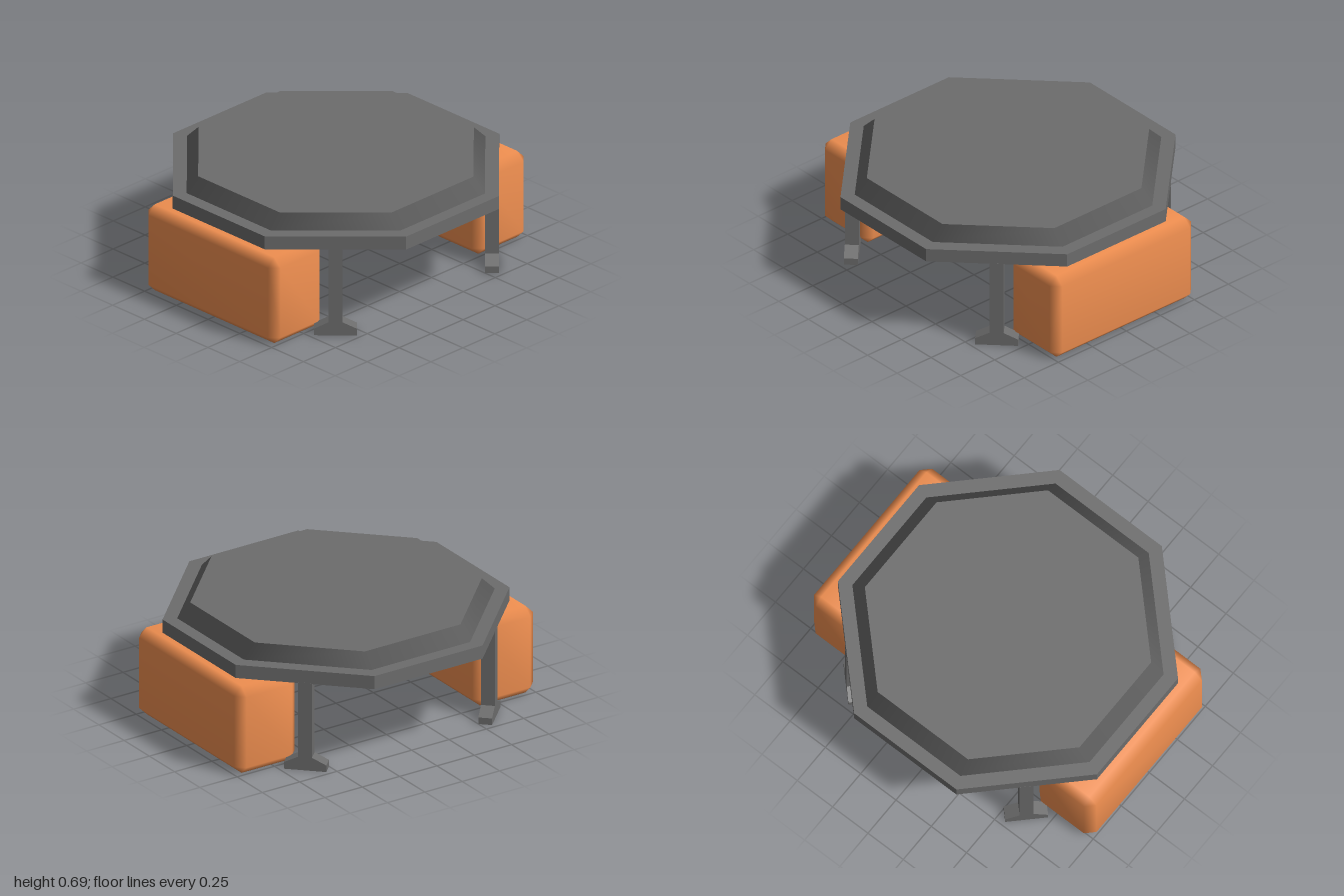
import * as THREE from 'three';
import { mergeVertices } from 'three/addons/utils/BufferGeometryUtils.js';
import { ConvexGeometry } from 'three/addons/geometries/ConvexGeometry.js';

// Octagonal slab; each ring is [distance to flat side, half length of that side]
function octagonSlab(bottom, top, y0, y1) {
  const geo = new THREE.CylinderGeometry(1, 1, y1 - y0, 8, 1, false, Math.PI / 8);
  geo.translate(0, (y0 + y1) / 2, 0);
  const p = geo.attributes.position;
  for (let i = 0; i < p.count; i++) {
    const x = p.getX(i), z = p.getZ(i);
    if (Math.hypot(x, z) < 0.5) continue; // cap centres
    const [far, near] = p.getY(i) > (y0 + y1) / 2 ? top : bottom;
    const xIsFar = Math.abs(x) > Math.abs(z);
    p.setX(i, Math.sign(x) * (xIsFar ? far : near));
    p.setZ(i, Math.sign(z) * (xIsFar ? near : far));
  }
  return geo;
}

// Box with single-step chamfers on every edge and softened normals
function chamferedBox(w, h, d, c) {
  const points = [];
  for (const sx of [-1, 1]) for (const sy of [-1, 1]) for (const sz of [-1, 1])
    for (let axis = 0; axis < 3; axis++) {
      const half = [w / 2, h / 2, d / 2].map((v, i) => (i === axis ? v : v - c));
      points.push(new THREE.Vector3(sx * half[0], sy * half[1], sz * half[2]));
    }
  const geo = new ConvexGeometry(points);
  geo.deleteAttribute('normal');
  const merged = mergeVertices(geo, 1e-4);
  merged.computeVertexNormals();
  return merged;
}

export function createModel() {
  const model = new THREE.Group();
  model.name = 'tableWithSeats';
  const flatGrey = new THREE.MeshStandardMaterial({ color: 0x6c6c6c, flatShading: true });
  const smoothGrey = new THREE.MeshStandardMaterial({ color: 0x6c6c6c });
  const orange = new THREE.MeshStandardMaterial({ color: 0xf08f50 });

  const add = (name, geo, material) => {
    const mesh = new THREE.Mesh(geo, material);
    mesh.name = name;
    model.add(mesh);
    return mesh;
  };

  // Table top: flat rim with a sloped raised panel
  add('tableRim', octagonSlab([0.917, 0.362], [0.917, 0.362], 0.53, 0.61), flatGrey);
  add('tablePanel', octagonSlab([0.84, 0.33], [0.76, 0.32], 0.61, 0.69), smoothGrey);

  // Legs: post widening into a foot, turned to face the table's corners
  const post = 0.039, foot = 0.12;
  const profile = new THREE.Shape([
    [-foot, 0], [foot, 0], [foot, 0.04], [post, 0.08], [post, 0.535],
    [-post, 0.535], [-post, 0.08], [-foot, 0.04],
  ].map(([x, y]) => new THREE.Vector2(x, y)));
  const legGeo = new THREE.ExtrudeGeometry(profile, { depth: 2 * post, bevelEnabled: false });
  legGeo.translate(0, 0, -post);
  for (let i = 0; i < 4; i++) {
    const angle = Math.PI / 4 + i * Math.PI / 2;
    const leg = add('leg' + (i + 1), legGeo, flatGrey);
    leg.rotation.y = angle;
    leg.position.set(Math.sin(angle) * 0.866, 0, Math.cos(angle) * 0.866);
  }

  // Seats on either side
  const seatGeo = chamferedBox(0.405, 0.53, 1.04, 0.05);
  for (const side of [-1, 1]) {
    const seat = add(side > 0 ? 'leftSeat' : 'rightSeat', seatGeo, orange);
    seat.position.set(side * 0.7975, 0.265, 0);
  }
  return model;
}
